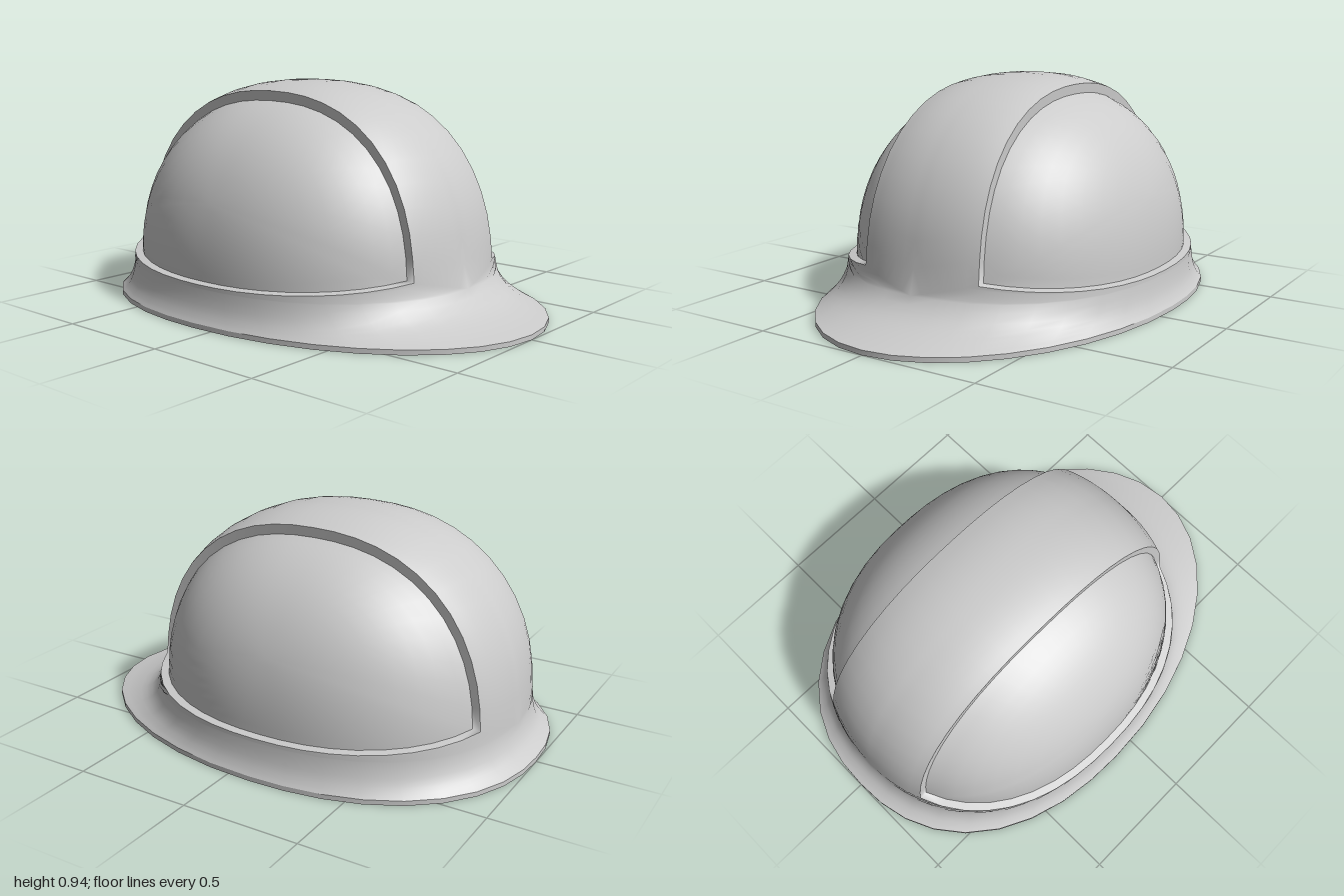
import * as THREE from 'three';
import { mergeGeometries, mergeVertices } from 'three/addons/utils/BufferGeometryUtils.js';

const N = 2.3, EQ = 0.15, ZC = -0.11; // roundness, height of the dome's base, dome centre
const RAISED = [0.685, 0.79, 0.8], RECESS = [0.655, 0.75, 0.77], INNER = [0.635, 0.73, 0.75];
const ARCH = 24, BASE = 18; // segments over the crown and along each side
const V = (x, y, z) => new THREE.Vector3(x, y, z);
const lerp = THREE.MathUtils.lerp;

// scale a direction onto the unit superellipsoid
function unit(v, n = N) {
  const s = Math.abs(v.x) ** n + Math.abs(v.y) ** n + Math.abs(v.z) ** n;
  return v.clone().multiplyScalar(s ** (-1 / n));
}

// point on a dome of the given radii
function dome(dir, r) {
  const u = unit(dir);
  return V(u.x * r[0], EQ + u.y * r[1], ZC + u.z * r[2]);
}

// outline of the brim, longer at the front
function brim(x, z) {
  const u = unit(V(x, 0, z), z > 0 ? 2 : N);
  return V(u.x * 0.725, 0, -0.1 + u.z * (z > 0 ? 1.1 : 0.9));
}

// how far the wall has flared towards the brim at height y
function flare(y) {
  const s = THREE.MathUtils.clamp((0.26 - y) / 0.24, 0, 1);
  return 0.85 * s ** 4.5 + 0.15 * s ** 1.7;
}

function flared(p, dir, r, w) {
  if (w <= 0) return p;
  const base = dome(V(dir.x, 0, dir.z), r), out = brim(dir.x, dir.z);
  return V(p.x + w * (out.x - base.x), p.y, p.z + w * (out.z - base.z));
}

function raised(dir) {
  const p = dome(dir, RAISED);
  return flared(p, dir, RAISED, flare(p.y));
}

// grid of nu x nv quads through f(i, j); flip mirrors it in x
function grid(nu, nv, f, flip = false) {
  const pos = [], idx = [];
  for (let j = 0; j <= nv; j++) for (let i = 0; i <= nu; i++) {
    const p = f(i, j);
    pos.push(flip ? -p.x : p.x, p.y, p.z);
  }
  for (let j = 0; j < nv; j++) for (let i = 0; i < nu; i++) {
    const a = j * (nu + 1) + i, b = a + 1, d = a + nu + 1, c = d + 1;
    if (flip) idx.push(a, c, b, a, d, c);
    else idx.push(a, b, c, a, c, d);
  }
  const g = new THREE.BufferGeometry();
  g.setAttribute('position', new THREE.Float32BufferAttribute(pos, 3));
  g.setIndex(idx);
  return g;
}

// outline of a side panel and, station by station, the edge of its half of the dome
function outlines() {
  const panel = [], edge = [], b0 = 0.088;
  for (let i = 0; i <= ARCH; i++) {
    const t = i / ARCH, b = lerp(b0, Math.PI - b0, t), e = Math.PI * t;
    const c = Math.cos(b), s = Math.sin(b), x = 0.37 + 0.03 * c ** 4;
    const rho = ((1 - x ** N) / (Math.abs(c) ** N + s ** N)) ** (1 / N);
    panel.push(V(x, s * rho, c * rho));
    edge.push(V(0, Math.sin(e), Math.cos(e)));
  }
  const k = panel[0], h = Math.hypot(k.x, k.z), g0 = Math.atan2(k.x, k.z);
  for (let i = 1; i <= BASE; i++) {
    const t = i / BASE, g = lerp(Math.PI - g0, g0, t), e = Math.PI * (1 - t);
    const y = 0.02 + (k.y / h - 0.02) * (2 * t - 1) ** 2;
    panel.push(unit(V(Math.sin(g), y, Math.cos(g))));
    edge.push(V(Math.sin(e), 0, Math.cos(e)));
  }
  return { panel, edge: edge.map((v) => unit(v)) };
}

export function createModel() {
  const group = new THREE.Group();
  const material = new THREE.MeshStandardMaterial({ color: 0xcccccc, side: THREE.DoubleSide });
  const add = (name, ...parts) => {
    const g = mergeVertices(mergeGeometries(parts), 1e-4);
    g.computeVertexNormals();
    const mesh = new THREE.Mesh(g, material);
    mesh.name = name;
    group.add(mesh);
  };

  const { panel, edge } = outlines();
  const count = panel.length - 1;
  const centre = unit(V(0.85, 0.4, 0));
  const inset = panel.map((p) => unit(p.clone().lerp(centre, 0.02)));
  const around = (i) => V(Math.sin((i * Math.PI) / BASE), 0, Math.cos((i * Math.PI) / BASE));

  // raised crown band running into the flared skirt and brim
  const band = (i, j) => raised(panel[i].clone().lerp(edge[i], j / 6));
  const levels = [0.02, 0.03, 0.04, 0.055, 0.07, 0.09, 0.12, EQ];
  const skirt = grid(2 * BASE, levels.length - 1, (i, j) => {
    const d = around(i), p = dome(d, RAISED);
    p.y = levels[j];
    return flared(p, d, RAISED, flare(p.y));
  });
  add('crownAndBrim', grid(count, 6, band), grid(count, 6, band, true), skirt);

  // recessed side panels and the bevelled steps around them
  for (const [side, flip] of [['left', false], ['right', true]]) {
    add(side + 'Panel', grid(count, 10, (i, j) => dome(centre.clone().lerp(inset[i], j / 10), RECESS), flip));
    add(side + 'PanelBevel', grid(count, 1, (i, j) => (j ? raised(panel[i]) : dome(inset[i], RECESS)), flip));
  }

  // thin vertical lip of the brim
  add('brimLip', grid(2 * BASE, 1, (i, j) => {
    const d = around(i), p = brim(d.x, d.z);
    p.y = 0.02 * j;
    return p;
  }));

  // inside of the shell: underside of the brim, then the hollow dome
  const rise = [0, 0, 0.01, 0.02, 0.035, 0.055, 0.08, 0.11, EQ];
  const low = rise.length - 1, high = 14;
  add('innerShell', grid(2 * BASE, low + high, (i, j) => {
    const d = around(2 * BASE - i);
    if (j > low) {
      const a = ((j - low) / high) * Math.PI / 2, u = unit(d);
      return dome(V(u.x * Math.cos(a), Math.sin(a), u.z * Math.cos(a)), INNER);
    }
    const p = dome(d, INNER);
    p.y = rise[j];
    return flared(p, d, INNER, j === 0 ? 1 : flare(p.y + 0.025) * (1 - (p.y / EQ) ** 2));
  }));
  return group;
}
